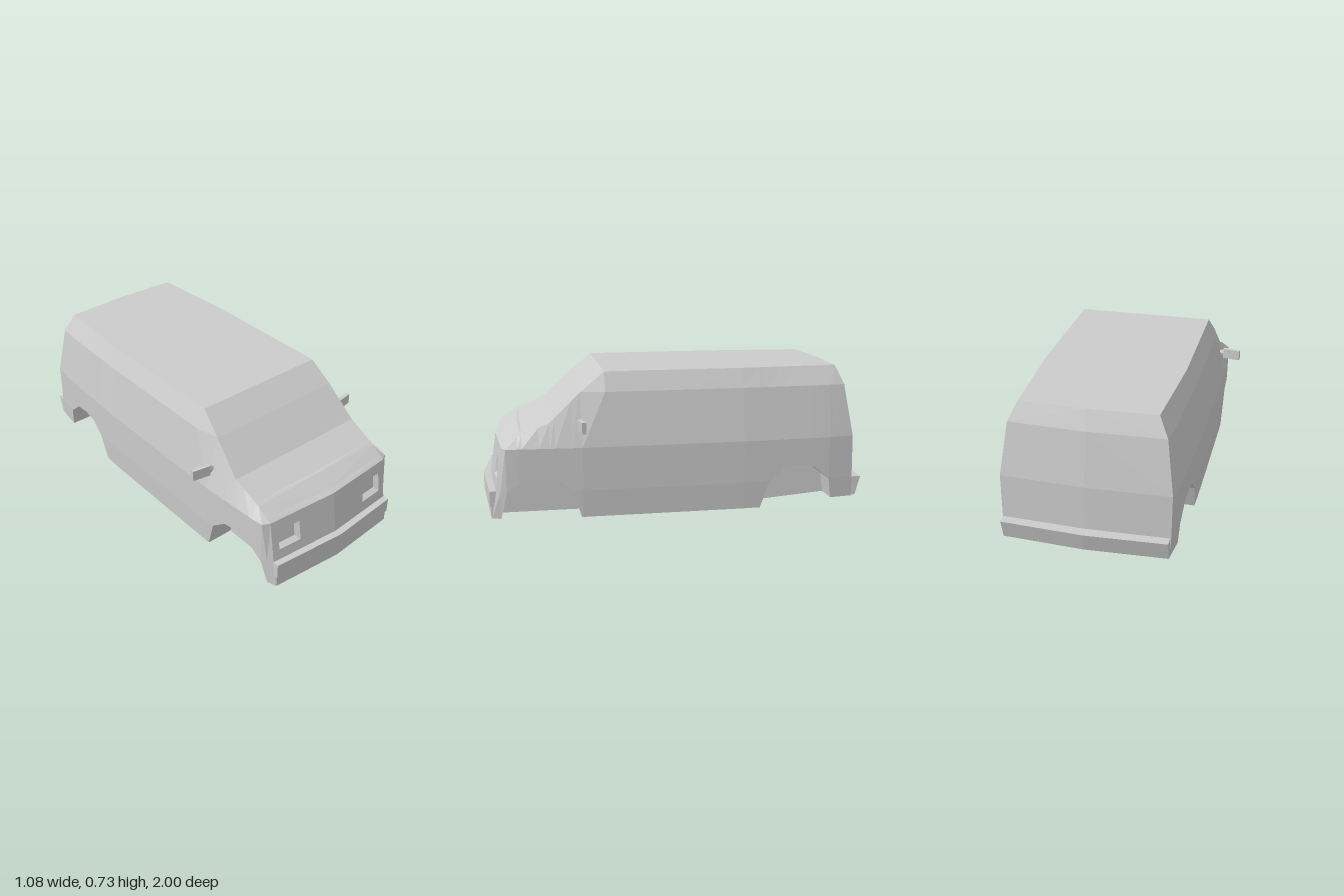
import * as THREE from 'three';

const material = new THREE.MeshStandardMaterial({ color: 0xcccccc, flatShading: true });

// Piecewise linear lookup through [key, value] knots in ascending order
function lerp(knots, t) {
  if (t <= knots[0][0]) return knots[0][1];
  for (let i = 1; i < knots.length; i++) {
    const [a, u] = knots[i - 1], [b, v] = knots[i];
    if (t <= b) return u + (v - u) * (t - a) / (b - a);
  }
  return knots[knots.length - 1][1];
}

// Collects triangles for the +x half and mirrors each one to -x
class HalfMesh {
  constructor() { this.data = []; }
  tri(a, b, c) {
    this.data.push(...a, ...b, ...c);
    for (const p of [a, c, b]) this.data.push(-p[0], p[1], p[2]);
  }
  quad(a, b, c, d) { this.tri(a, b, c); this.tri(a, c, d); }
  build(name) {
    const g = new THREE.BufferGeometry();
    g.setAttribute('position', new THREE.Float32BufferAttribute(this.data, 3));
    g.computeVertexNormals();
    const mesh = new THREE.Mesh(g, material);
    mesh.name = name;
    return mesh;
  }
}

// Body rules: half width by height, taper by length, roof line and end edges
const WIDTH = [[0, .445], [.14, .453], [.36, .455], [.63, .41], [.725, .365]];
const TAPER = [[-.95, .91], [-.78, .96], [-.3, 1], [.5, 1], [.87, .95], [.95, .87]];
const TOP_X = [[-.84, .335], [-.33, .365], [.38, .365], [.5, .382], [.66, .4], [.9, .39]];
const TOP_Y = [[.38, .727], [.5, .63], [.66, .48], [.82, .412], [.9, .36]];
const REAR_Z = [[.03, -.932], [.36, -.925], [.63, -.88], [.727, -.84]];
const BOW = [[-.84, -.015], [-.7, 0], [.82, 0], [.9, .03]];
const frontZ = y => .955 - .055 * y / .36;

// Wheel arch outlines as [z, y], front to rear
const ARCHES = [
  [[.91, 0], [.88, .13], [.8, .2], [.715, .22], [.635, .21], [.55, .145], [.51, 0]],
  [[-.42, 0], [-.465, .135], [-.54, .205], [-.62, .22], [-.705, .21], [-.795, .135], [-.81, .03]],
];
const BOTTOM = ARCHES.flat().reverse();
const STATIONS = [1, .82, .66, .5, .38, -.05, -.33, -1, ...BOTTOM.map(p => p[0])].sort((a, b) => b - a);
const WELL_X = .3;

function sidePoint(station, yWanted) {
  const top = lerp(TOP_Y, station);
  const y = Math.min(top, Math.max(yWanted, lerp(BOTTOM, station)));
  const z = Math.max(lerp(REAR_Z, y), Math.min(station, frontZ(y)));
  if (station === 1) return [.39, y, z];
  return [y >= top ? lerp(TOP_X, z) : lerp(WIDTH, y) * lerp(TAPER, z), y, z];
}

const columns = STATIONS.map(s => [0, .14, .36, .63, 1].map(y => sidePoint(s, y)));

function sides() {
  const m = new HalfMesh();
  for (let i = 0; i + 1 < columns.length; i++)
    for (let j = 0; j < 4; j++)
      m.quad(columns[i][j], columns[i + 1][j], columns[i + 1][j + 1], columns[i][j + 1]);
  return m.build('bodySides');
}

// Hood, windshield, roof and tail as one strip with a bowed centre line
function roofAndTail() {
  const m = new HalfMesh();
  const edge = columns.map(c => c[4]);
  const centre = edge.map(([, y, z]) => [0, y + (Math.abs(z - .82) < .01 ? .008 : 0), z + lerp(BOW, z)]);
  for (const p of columns[columns.length - 1].slice(0, 4).reverse()) {
    edge.push(p);
    centre.push([0, p[1], p[2] - .015]);
  }
  for (let i = 0; i + 1 < edge.length; i++)
    m.quad(centre[i], edge[i], edge[i + 1], centre[i + 1]);
  return m.build('hoodRoofAndTail');
}

// Nose panel with recessed headlight openings
function nose() {
  const m = new HalfMesh();
  const place = (x, y, depth = 0) => [x, y, frontZ(y) + .03 * (1 - x / .39) - depth];
  const rect = (x0, x1, y0, y1) => [[x0, y0], [x1, y0], [x1, y1], [x0, y1]];
  const vectors = pts => pts.map(p => new THREE.Vector2(...p));
  const outer = rect(.22, .35, .195, .3), inner = rect(.235, .335, .21, .288);
  const shape = new THREE.Shape(vectors(rect(0, .39, 0, .36)));
  shape.holes.push(new THREE.Path(vectors(outer)));
  const pos = new THREE.ShapeGeometry(shape).toNonIndexed().attributes.position;
  const at = i => place(pos.getX(i), pos.getY(i));
  for (let i = 0; i < pos.count; i += 3) m.tri(at(i), at(i + 1), at(i + 2));
  const rim = outer.map(p => place(...p)), back = inner.map(p => place(...p, .025));
  for (let i = 0; i < 4; i++) {
    const n = (i + 1) % 4;
    m.quad(rim[i], rim[n], back[n], back[i]);
  }
  m.quad(...back);
  return m.build('noseWithHeadlightRecesses');
}

// Underside, narrowed between the wheel wells
function floor() {
  const m = new HalfMesh();
  const spans = [[1, .91, 0], [.91, .51, 1], [.51, -.42, 0], [-.42, -.81, 1], [-.81, -1, 0]];
  for (const [a, b, well] of spans) {
    const [p, q] = [a, b].map(s => sidePoint(s, 0));
    if (well) p[0] = q[0] = WELL_X;
    const centre = (s, [, y, z]) => [0, y, z + (s === 1 ? .03 : s === -1 ? -.015 : 0)];
    m.quad(centre(a, p), centre(b, q), q, p);
  }
  return m.build('floor');
}

function wheelWells() {
  const m = new HalfMesh();
  for (const arch of ARCHES) {
    const out = arch.map(([z]) => sidePoint(z, 0));
    const inn = out.map(([, y, z]) => [WELL_X, y, z]);
    const last = inn[inn.length - 1];
    const mid = [WELL_X, (inn[0][1] + last[1]) / 2, (inn[0][2] + last[2]) / 2];
    for (let i = 0; i + 1 < out.length; i++) {
      m.quad(inn[i], inn[i + 1], out[i + 1], out[i]);
      m.tri(mid, inn[i + 1], inn[i]);
    }
  }
  return m.build('wheelWells');
}

// Bar extruded upward from a plan outline: half width, z at back, corner and centre
function bumper(name, half, zBack, zCorner, zCentre, y0, y1, lean = 0) {
  const plan = [[-half, zBack], [-half, zCorner], [0, zCentre], [half, zCorner], [half, zBack]];
  const shape = new THREE.Shape(plan.map(([x, z]) => new THREE.Vector2(x, -z)));
  const g = new THREE.ExtrudeGeometry(shape, { depth: y1 - y0, bevelEnabled: false });
  g.rotateX(-Math.PI / 2).translate(0, y0, 0);
  const p = g.attributes.position;
  for (let i = 0; i < p.count; i++) p.setZ(i, p.getZ(i) + lean * (y1 - p.getY(i)));
  g.computeVertexNormals();
  const mesh = new THREE.Mesh(g, material);
  mesh.name = name;
  return mesh;
}

// Door mirror: angled housing on a tapered stem
function doorMirror(side) {
  const group = new THREE.Group();
  group.name = side > 0 ? 'leftMirror' : 'rightMirror';
  const housing = new THREE.Mesh(new THREE.BoxGeometry(.095, .056, .022), material);
  housing.name = 'mirrorHousing';
  const stem = new THREE.Mesh(new THREE.CylinderGeometry(.008, .028, .035, 4), material);
  stem.name = 'mirrorStem';
  stem.scale.z = .4;
  stem.rotation.z = side * Math.PI / 2;
  stem.position.x = -side * .06;
  group.add(housing, stem);
  group.position.set(side * .49, .475, .505);
  group.rotation.y = side * .17;
  return group;
}

export function createModel() {
  const van = new THREE.Group();
  van.name = 'van';
  van.add(
    sides(), roofAndTail(), nose(), floor(), wheelWells(),
    bumper('frontBumper', .392, .92, .965, 1, .06, .14),
    bumper('frontValance', .388, .92, .958, .99, 0, .06),
    bumper('rearBumper', .41, -.925, -.98, -1, .035, .135, .28),
    doorMirror(1), doorMirror(-1),
  );
  return van;
}
